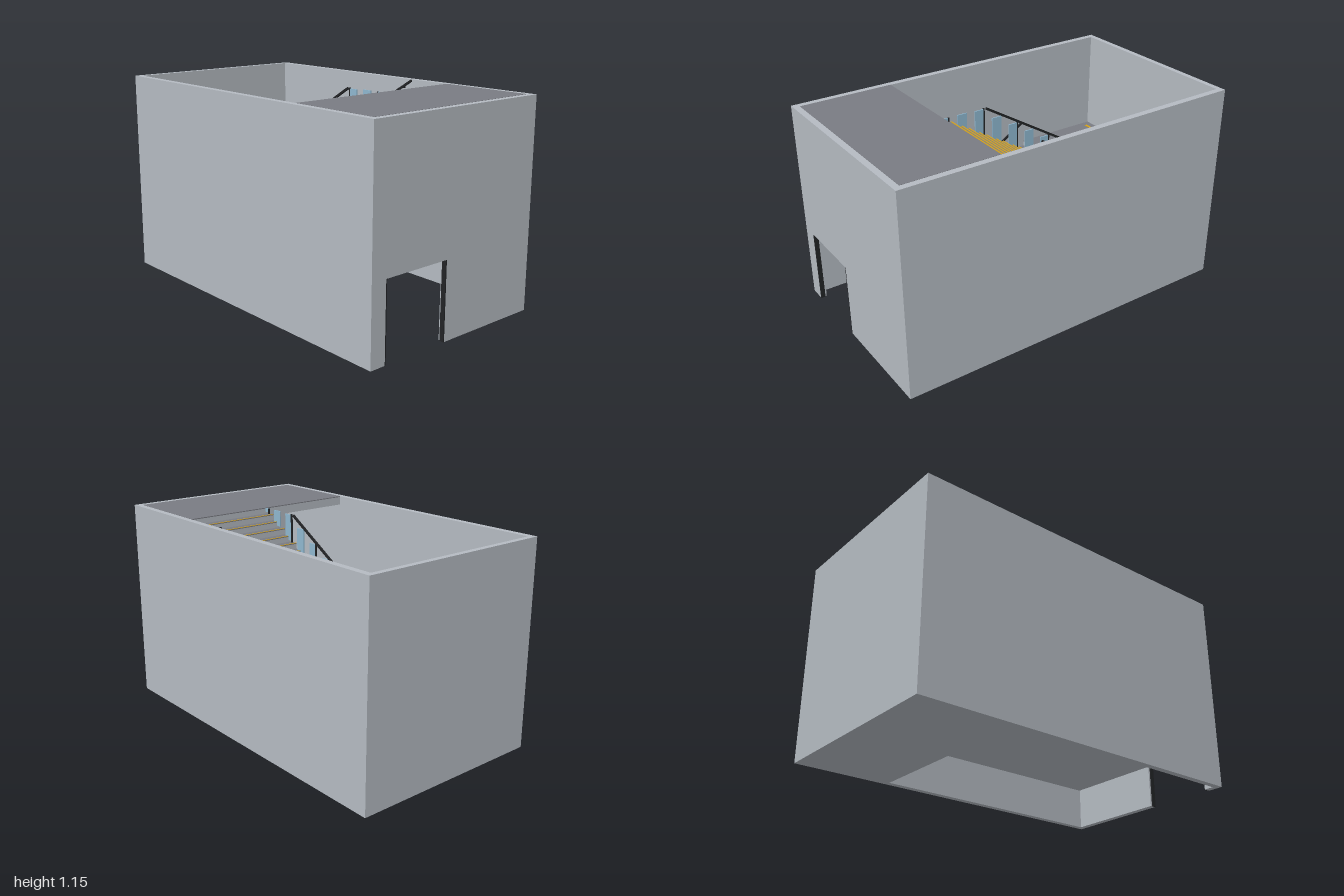
import * as THREE from 'three';

const mat = (name, color) => {
  const m = new THREE.MeshStandardMaterial({ color });
  m.name = name;
  return m;
};

export function createModel() {
  const concrete = mat('concrete', 0xb5bbc2);
  const flooring = mat('flooring', 0x7a7c83);
  const yellow = mat('safetyYellow', 0xd2a11e);
  const metal = mat('darkMetal', 0x222426);
  const glass = mat('blueGlass', 0x8fb8d0);

  const root = new THREE.Group();
  root.name = 'stairwell';
  const group = (name) => {
    const g = new THREE.Group();
    g.name = name;
    root.add(g);
    return g;
  };
  // Box given by its minimum and maximum along each axis
  const box = (parent, name, m, x0, x1, y0, y1, z0, z1) => {
    const mesh = new THREE.Mesh(new THREE.BoxGeometry(x1 - x0, y1 - y0, z1 - z0), m);
    mesh.position.set((x0 + x1) / 2, (y0 + y1) / 2, (z0 + z1) / 2);
    mesh.name = name;
    parent.add(mesh);
    return mesh;
  };

  const W = 0.565, IN = 0.53, H = 1.15, BACK = -0.97, FRONT = 0.965;
  const Z0 = -0.455, Z1 = 0.44, N = 17;
  const going = (Z1 - Z0) / N, rise = H / 36, mid = H / 2, plate = 0.004;
  const slope = rise / going;

  // Outer walls, the front one with a doorway
  const walls = group('walls');
  for (const s of [-1, 1]) {
    box(walls, 'sideWall', concrete, Math.min(s * IN, s * W), Math.max(s * IN, s * W), 0, H, -1, 1);
  }
  box(walls, 'backWall', concrete, -IN, IN, 0, H, -1, BACK);
  const D0 = -0.475, D1 = -0.07, DH = 0.42;
  const front = new THREE.Shape([[-IN, 0], [D0, 0], [D0, DH], [D1, DH], [D1, 0], [IN, 0], [IN, H], [-IN, H]]
    .map(([x, y]) => new THREE.Vector2(x, y)));
  const frontWall = new THREE.Mesh(
    new THREE.ExtrudeGeometry(front, { depth: 1 - FRONT, bevelEnabled: false }), concrete);
  frontWall.position.z = FRONT;
  frontWall.name = 'frontWall';
  walls.add(frontWall);
  for (const x of [D0, D1 - 0.006]) {
    box(walls, 'doorJamb', metal, x, x + 0.006, 0, DH, 0.975, 1);
  }

  // Half landing and upper floor, each with a thin covering
  const floors = group('floors');
  box(floors, 'halfLanding', concrete, -IN, IN, 0, mid - plate, BACK, Z0);
  box(floors, 'landingCovering', flooring, -IN, IN, mid - plate, mid, BACK, Z0);
  box(floors, 'landingStrip', yellow, -0.49, 0.49, mid, mid + 0.003, -0.93, -0.915);
  box(floors, 'upperSlab', concrete, -IN, IN, H - 0.05, H - plate, Z1, FRONT);
  box(floors, 'upperCovering', flooring, -IN, IN, H - plate, H + 0.001, Z1, FRONT);

  // Two flights: solid lower one climbs to the back, open upper one to the front
  const steps = (name, x0, x1, base, start, dir, solid) => {
    const g = group(name);
    for (let k = 1; k <= N; k++) {
      const top = base + k * rise;
      const a = start + dir * (k - 1) * going, b = a + dir * going;
      const z0 = Math.min(a, b), z1 = Math.max(a, b);
      box(g, 'step', concrete, x0, x1, solid ? 0 : top - 0.06, top - plate, z0, z1);
      box(g, 'tread', flooring, x0, x1, top - plate, top, z0, z1);
      const n = a + dir * 0.008;
      box(g, 'nosing', yellow, x0, x1, top, top + 0.0015, Math.min(a, n), Math.max(a, n));
    }
  };
  steps('lowerFlight', -IN, -0.02, 0, Z1, -1, true);
  steps('upperFlight', 0.02, IN, mid, Z0, 1, false);

  // Handrails follow the pitch and stop at the top of the walls
  const railing = (name, x, base, start, dir, wallSide, panelStep) => {
    const g = group(name);
    const railY = (d) => base + 0.195 + slope * (d - 0.025);
    const d0 = 0.025, d1 = Math.min(0.87, d0 + (H - base - 0.2) / slope);
    const len = Math.hypot(d1 - d0, slope * (d1 - d0));
    const rail = box(g, 'handrail', metal, -0.005, 0.005, -0.006, 0.006, -len / 2, len / 2);
    const dm = (d0 + d1) / 2;
    rail.position.set(x, railY(dm), start + dir * dm);
    rail.rotation.x = -dir * Math.atan(slope);
    if (wallSide) {
      // Short brackets back to the wall
      for (let i = 0; i < 4; i++) {
        const d = d0 + 0.06 + i * (d1 - d0 - 0.12) / 3, z = start + dir * d, y = railY(d);
        box(g, 'bracket', metal, Math.min(x, wallSide * IN), Math.max(x, wallSide * IN),
          y - 0.012, y - 0.004, z - 0.004, z + 0.004);
      }
      return;
    }
    // Posts and glass panels on the open side
    for (let k = 0; k < N; k += 4) {
      const d = Math.max(d0 + 0.004, (k + 0.5) * going), z = start + dir * d;
      box(g, 'post', metal, x - 0.004, x + 0.004, base + (k + 1) * rise, Math.min(H, railY(d)), z - 0.004, z + 0.004);
    }
    for (let k = 0; k < N; k += panelStep) {
      const d = (k + 1) * going, z = start + dir * d;
      box(g, 'glassPanel', glass, x - 0.003, x + 0.003, base + (k + 1) * rise + 0.01,
        Math.min(H, railY(d) - 0.025), z - 0.028, z + 0.028);
    }
  };
  railing('lowerWallRail', -0.515, 0, Z1, -1, -1, 0);
  railing('lowerInnerRail', -0.032, 0, Z1, -1, 0, 2);
  railing('upperInnerRail', 0.032, mid, Z0, 1, 0, 2);
  railing('upperWallRail', 0.515, mid, Z0, 1, 1, 0);

  // Round wall marker beside the entrance
  const disc = new THREE.Mesh(new THREE.CylinderGeometry(0.03, 0.03, 0.008, 24), yellow);
  disc.rotation.z = Math.PI / 2;
  disc.position.set(-IN + 0.004, 0.29, 0.75);
  disc.name = 'wallMarker';
  root.add(disc);

  return root;
}
